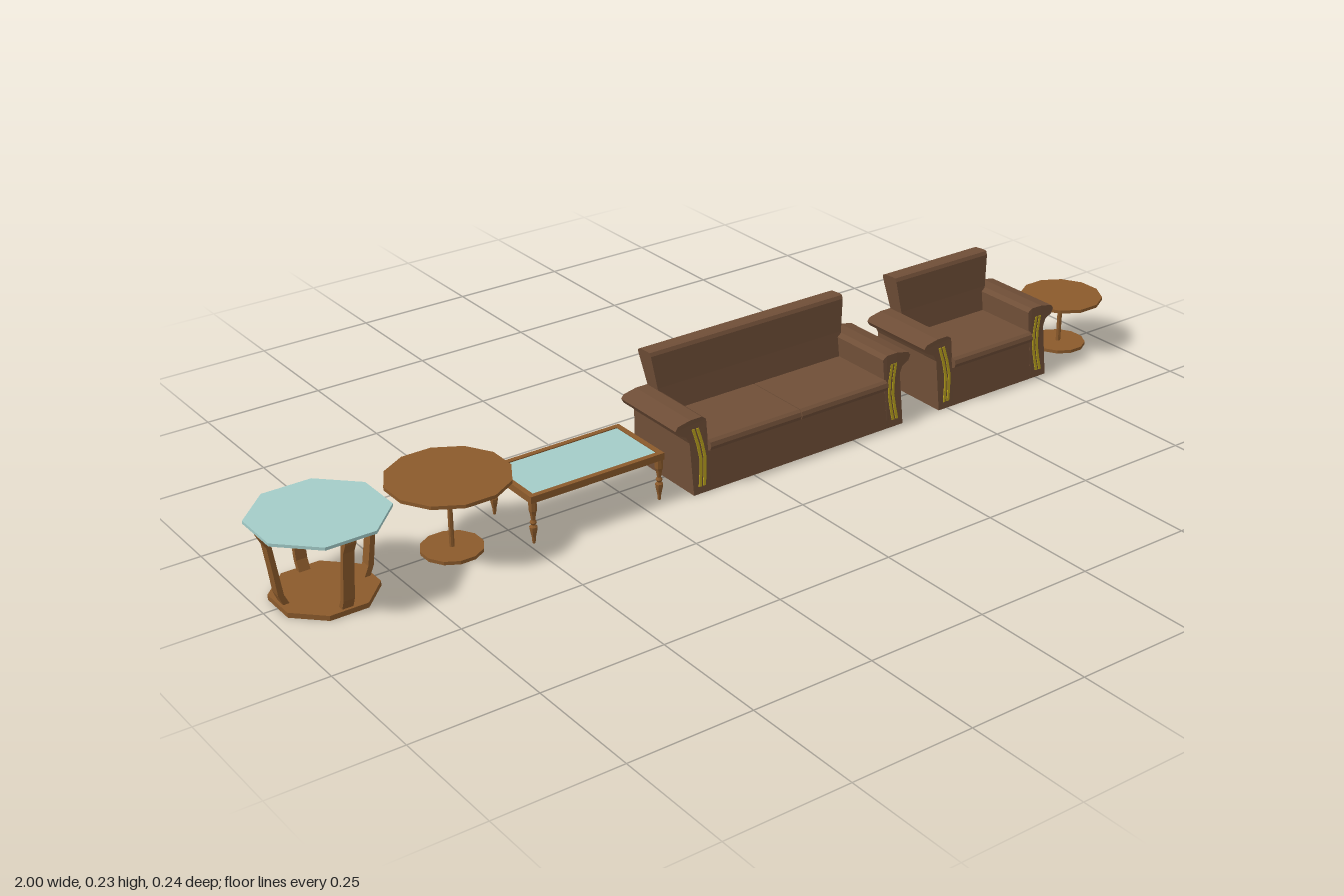
import * as THREE from 'three';

const mat = (name, color, extra = {}) => {
  const m = new THREE.MeshStandardMaterial({ color, ...extra });
  m.name = name;
  return m;
};

export function createModel() {
  const upholstery = mat('brown upholstery', 0x6f4e37, { flatShading: true });
  const wood = mat('wood', 0x8b5a2b, { flatShading: true });
  const glass = mat('pale glass', 0xa3ccc8, { flatShading: true });
  const gold = mat('gold trim', 0xb8a01c, { flatShading: true, side: THREE.DoubleSide });

  const group = (name, x) => {
    const g = new THREE.Group();
    g.name = name;
    g.position.x = x;
    return g;
  };
  const add = (parent, name, geo, material, x = 0, y = 0, z = 0) => {
    const m = new THREE.Mesh(geo, material);
    m.name = name;
    m.position.set(x, y, z);
    parent.add(m);
    return m;
  };
  const extrude = (pts, depth) => new THREE.ExtrudeGeometry(
    new THREE.Shape(pts.map(p => new THREE.Vector2(p[0], p[1]))), { depth, bevelEnabled: false });
  // profile given as (z, y), swept along x and centred
  const sideExtrude = (pts, width) => extrude(pts, width).translate(0, 0, -width / 2).rotateY(-Math.PI / 2);
  const reshape = (geo, rule) => {
    const p = geo.attributes.position, v = new THREE.Vector3();
    for (let i = 0; i < p.count; i++) {
      rule(v.fromBufferAttribute(p, i));
      p.setXYZ(i, v.x, v.y, v.z);
    }
    geo.computeVertexNormals();
    return geo;
  };
  // sloping front plane shared by the arms and apron
  const frontZ = y => 0.098 - 0.018 * Math.min(y / 0.14, 1);

  // upholstered seat: h is half the body width
  function seat(name, x, h, cushions) {
    const g = group(name, x);
    const inner = h - 0.04;
    add(g, 'base', sideExtrude([[0.098, 0], [frontZ(0.083), 0.083], [-0.066, 0.083],
      [-0.066, 0.15], [-0.1, 0.15], [-0.1, 0]], 2 * inner), upholstery);

    // reclined backrest, wider at the top
    const back = sideExtrude([[-0.056, 0.095], [-0.065, 0.155], [-0.073, 0.222], [-0.077, 0.229],
      [-0.084, 0.23], [-0.108, 0.228], [-0.115, 0.225], [-0.117, 0.219], [-0.1, 0.15], [-0.09, 0.095]], 2);
    add(g, 'backrest', reshape(back, v => { v.x *= inner + 0.018 * (v.y - 0.1) / 0.13; }), upholstery);

    // cushions with a rounded front lip
    const w = 2 * inner / cushions;
    for (let i = 0; i < cushions; i++) {
      add(g, 'seatCushion', sideExtrude([[-0.07, 0.083], [0.088, 0.081], [0.095, 0.084], [0.098, 0.092],
        [0.095, 0.1], [0.088, 0.104], [-0.07, 0.104]], w - 0.002), upholstery, (i + 0.5) * w - inner);
    }

    for (const s of [-1, 1]) {
      // flared arm
      const profile = [[h - 0.042, 0], [h, 0], [h, 0.106], [h + 0.007, 0.12], [h + 0.024, 0.128],
        [h + 0.03, 0.138], [h + 0.024, 0.146], [h - 0.005, 0.152], [h - 0.032, 0.152], [h - 0.042, 0.145]];
      const arm = extrude(profile.map(([a, b]) => [s * a, b]), 1);
      add(g, 'arm', reshape(arm, v => { v.z = v.z > 0.5 ? frontZ(v.y) : -0.1; }), upholstery);

      // paired curved trim bands on the arm front
      for (const offset of [0, 0.01]) {
        const centre = [[-0.014, 0.132], [-0.022, 0.1], [-0.026, 0.07], [-0.023, 0.04], [-0.019, 0.015]]
          .map(([a, b]) => [h + a - offset + 0.004, b]);
        const band = [...centre.map(([a, b]) => [s * (a + 0.003), b]),
          ...centre.reverse().map(([a, b]) => [s * (a - 0.003), b])];
        add(g, 'armTrim', reshape(extrude(band, 0.002), v => { v.z += frontZ(v.y); }), gold);
      }
    }
    return g;
  }

  // pedestal table with a round top
  function pedestalTable(name, x, r, height, baseR) {
    const g = group(name, x);
    const disc = (rad, t) => new THREE.CylinderGeometry(rad, rad, t, 12).rotateY(Math.PI / 12);
    add(g, 'tableTop', disc(r, 0.007), wood, 0, height - 0.0035, 0);
    add(g, 'pedestal', new THREE.CylinderGeometry(0.005, 0.005, height - 0.01, 8), wood, 0, height / 2, 0);
    add(g, 'foot', disc(baseR, 0.007), wood, 0, 0.0035, 0);
    return g;
  }

  // octagonal glass table on four curved legs
  function glassTable(x) {
    const g = group('octagonalGlassTable', x);
    const octagon = (apothem, t) => {
      const r = apothem / Math.cos(Math.PI / 8);
      return new THREE.CylinderGeometry(r, r, t, 8).rotateY(Math.PI / 8);
    };
    add(g, 'glassTop', octagon(0.12, 0.006), glass, 0, 0.159, 0);
    add(g, 'basePlate', octagon(0.092, 0.01), wood, 0, 0.005, 0);
    for (let i = 0; i < 4; i++) {
      const leg = extrude([[0.074, 0.01], [0.086, 0.01], [0.094, 0.03], [0.1, 0.08], [0.107, 0.13],
        [0.117, 0.15], [0.117, 0.156], [0.104, 0.156], [0.098, 0.135], [0.09, 0.08], [0.083, 0.03]], 0.022)
        .translate(0, 0, -0.011);
      add(g, 'curvedLeg', leg, wood).rotation.y = i * Math.PI / 2;
    }
    return g;
  }

  // framed glass coffee table with turned legs
  function coffeeTable(x) {
    const g = group('coffeeTable', x);
    const hx = 0.149, hz = 0.077, f = 0.011;
    add(g, 'glassPanel', new THREE.BoxGeometry(2 * (hx - f), 0.006, 2 * (hz - f)), glass, 0, 0.095, 0);
    const legProfile = [[0, 0], [0.003, 0], [0.004, 0.012], [0.007, 0.026], [0.008, 0.034], [0.004, 0.038],
      [0.007, 0.043], [0.004, 0.048], [0.006, 0.062], [0.008, 0.068], [0.008, 0.088]]
      .map(([r, y]) => new THREE.Vector2(r, y));
    for (const s of [-1, 1]) {
      add(g, 'longRail', new THREE.BoxGeometry(2 * hx, 0.014, f), wood, 0, 0.093, s * (hz - f / 2));
      add(g, 'shortRail', new THREE.BoxGeometry(f, 0.014, 2 * (hz - f)), wood, s * (hx - f / 2), 0.093, 0);
      for (const t of [-1, 1]) {
        add(g, 'turnedLeg', new THREE.LatheGeometry(legProfile, 8), wood, s * (hx - 0.008), 0, t * (hz - 0.008));
      }
    }
    return g;
  }

  const model = new THREE.Group();
  model.name = 'livingRoomSet';
  model.add(
    glassTable(-0.88),
    pedestalTable('largeRoundTable', -0.62, 0.119, 0.152, 0.06),
    coffeeTable(-0.346),
    seat('sofa', 0.118, 0.262, 2),
    seat('armchair', 0.628, 0.15, 1),
    pedestalTable('smallRoundTable', 0.912, 0.088, 0.114, 0.058),
  );
  return model;
}
